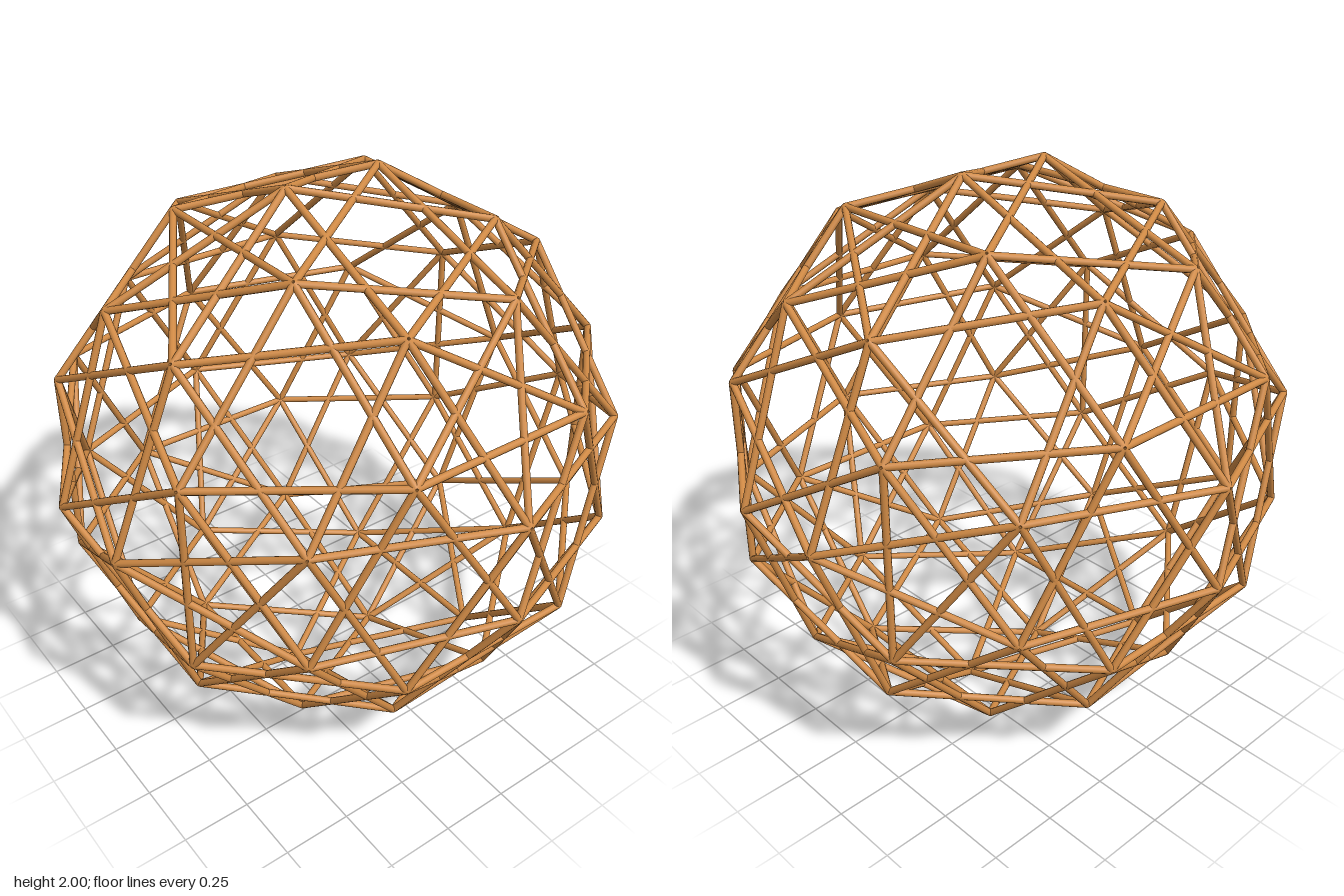
import * as THREE from 'three';

const RADIUS = 1.006;   // sphere through the strut joints
const THICK = 0.0125;   // strut radius

// The twelve corners of an icosahedron, as unit vectors
function icosahedronCorners() {
  const phi = (1 + Math.sqrt(5)) / 2;
  const corners = [];
  for (const a of [-1, 1]) {
    for (const b of [-phi, phi]) {
      corners.push(
        new THREE.Vector3(0, b, a),
        new THREE.Vector3(a, 0, b),
        new THREE.Vector3(b, a, 0),
      );
    }
  }
  return corners.map((c) => c.normalize());
}

// Joints: every icosahedron edge split into three equal arcs
function jointPositions() {
  const corners = icosahedronCorners();
  const joints = [];
  for (const p of corners) {
    for (const q of corners) {
      const angle = p.angleTo(q);
      if (angle < 0.1 || angle > 1.2) continue;
      const axis = p.clone().cross(q).normalize();
      joints.push(p.clone().applyAxisAngle(axis, angle / 3).multiplyScalar(RADIUS));
    }
  }
  return joints;
}

export function createModel() {
  const model = new THREE.Group();
  model.name = 'latticeSphere';
  const sphere = new THREE.Group();
  sphere.name = 'strutFrame';
  sphere.position.y = 1;
  model.add(sphere);

  const material = new THREE.MeshStandardMaterial({ color: 0xd08a45 });
  const rod = new THREE.CylinderGeometry(THICK, THICK, 1, 10);
  const up = new THREE.Vector3(0, 1, 0);

  // Struts: join each joint to its six second-nearest neighbours,
  // making stars in the pentagons and crossed triangles in the hexagons
  const joints = jointPositions();
  for (let i = 0; i < joints.length; i++) {
    for (let j = i + 1; j < joints.length; j++) {
      const span = joints[j].clone().sub(joints[i]);
      const length = span.length();
      if (length < 0.6 || length > 0.75) continue;
      const strut = new THREE.Mesh(rod, material);
      strut.name = 'strut';
      strut.position.copy(joints[i]).addScaledVector(span, 0.5);
      strut.quaternion.setFromUnitVectors(up, span.normalize());
      strut.scale.y = length;
      sphere.add(strut);
    }
  }
  return model;
}
